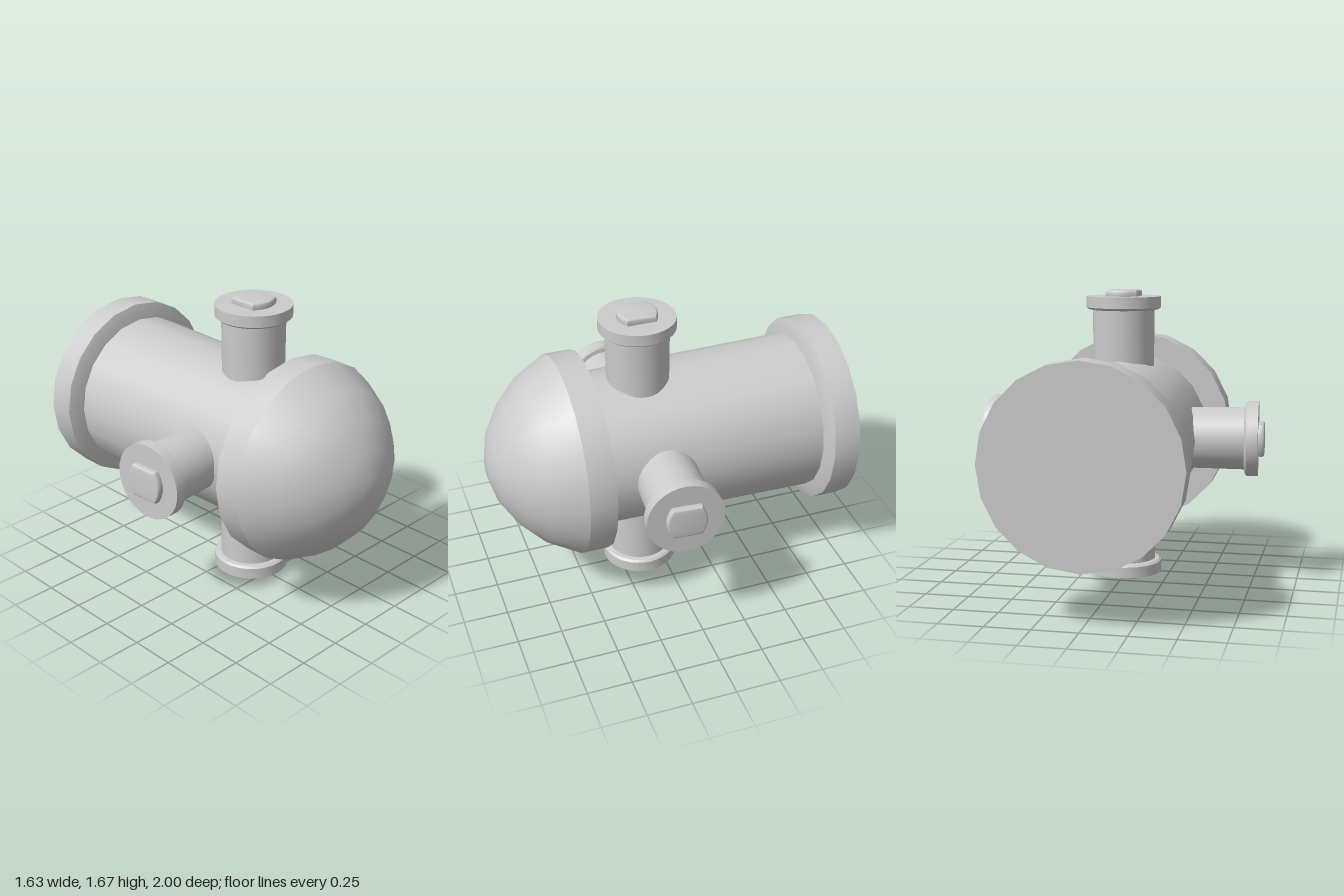
import * as THREE from 'three';
import { toCreasedNormals } from 'three/addons/utils/BufferGeometryUtils.js';

const material = new THREE.MeshStandardMaterial({ color: 0xcccccc });

// Solid of revolution about y from [radius, height] pairs, listed bottom to top
function turned(name, profile, sides) {
  const points = profile.map(([r, h]) => new THREE.Vector2(r, h));
  const geometry = toCreasedNormals(new THREE.LatheGeometry(points, sides), 0.5);
  const mesh = new THREE.Mesh(geometry, material);
  mesh.name = name;
  return mesh;
}

// Raised lug: straight sides, bowed ends and a rounded top edge
function lug() {
  const bevel = 0.012, w = 0.09 - bevel, l = 0.085 - bevel, bow = 0.135 - bevel;
  const shape = new THREE.Shape();
  shape.moveTo(-w, -l);
  shape.quadraticCurveTo(0, -bow, w, -l);
  shape.lineTo(w, l);
  shape.quadraticCurveTo(0, bow, -w, l);
  shape.closePath();
  const geometry = new THREE.ExtrudeGeometry(shape, {
    depth: 0.023, bevelThickness: bevel, bevelSize: bevel, bevelSegments: 3, curveSegments: 8,
  });
  geometry.rotateX(-Math.PI / 2);
  const mesh = new THREE.Mesh(toCreasedNormals(geometry, 0.6), material);
  mesh.name = 'lug';
  return mesh;
}

// Branch pipe along local y, with the outer face of its cap at the origin
function branch(name) {
  const group = new THREE.Group();
  group.name = name;
  group.add(
    turned('neck', [[0.172, -0.5], [0.176, -0.06]], 32),
    turned('cap', [[0.17, -0.078], [0.2, -0.073], [0.212, -0.063], [0.212, 0], [0, 0]], 32),
    lug(),
  );
  return group;
}

export function createModel() {
  const model = new THREE.Group();
  model.name = 'pipeJunction';
  const axisY = 0.84, branchZ = 0.125;

  // Main body, turned about y and laid along z
  const body = new THREE.Group();
  body.name = 'body';
  body.add(
    turned('mainPipe', [[0.45, -0.84], [0.43, 0.44]], 20),
    turned('rearFlange', [[0, -1], [0.535, -1], [0.535, -0.85], [0.45, -0.818], [0.4, -0.818]], 20),
    turned('frontDome', [
      [0.4, 0.42], [0.565, 0.42], [0.565, 0.57], [0.465, 0.75],
      [0.345, 0.87], [0.2, 0.96], [0.065, 0.997], [0, 1],
    ], 20),
  );
  body.rotation.x = Math.PI / 2;
  body.position.set(-0.005, axisY, 0);
  model.add(body);

  // Upper and lower branches
  const top = branch('topBranch');
  top.position.set(0.004, 1.635, branchZ);
  const bottom = branch('bottomBranch');
  bottom.position.set(-0.005, 0.037, branchZ);
  bottom.rotation.z = Math.PI;
  model.add(top, bottom);

  // Side branches, swung slightly forward
  for (const side of [1, -1]) {
    const arm = branch(side > 0 ? 'leftBranch' : 'rightBranch');
    arm.rotation.z = -side * Math.PI / 2;
    const swing = new THREE.Group();
    swing.name = arm.name + 'Mount';
    swing.rotation.y = -side * 0.075;
    swing.position.set(side * 0.775, axisY, 0.12);
    swing.add(arm);
    model.add(swing);
  }
  return model;
}
